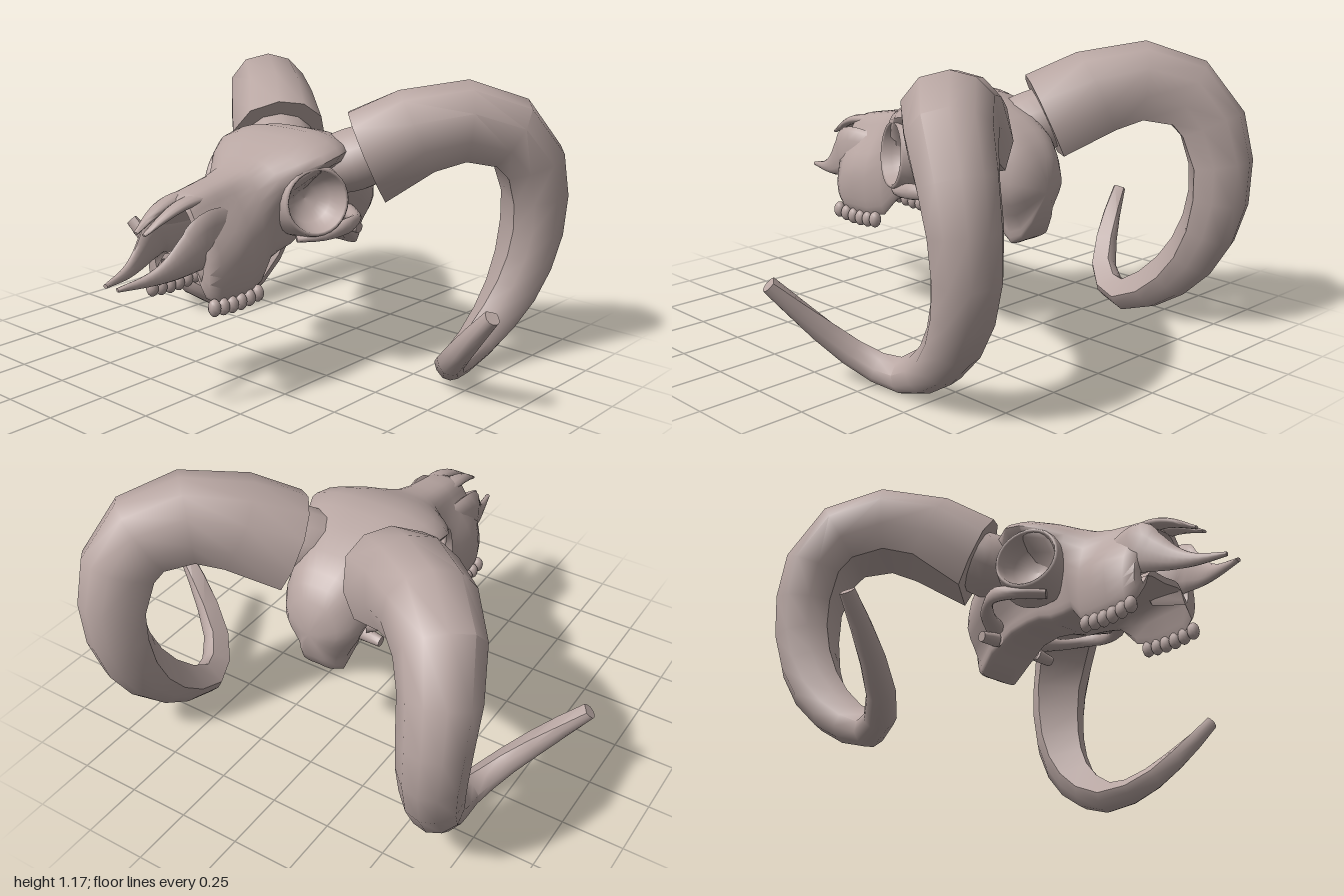
import * as THREE from 'three';
import { toCreasedNormals } from 'three/addons/utils/BufferGeometryUtils.js';

const V = (x, y, z) => new THREE.Vector3(x, y, z);
const bone = new THREE.MeshStandardMaterial({ color: 0xb8a6a2, side: THREE.DoubleSide });

// Skin a list of equal-length rings (counter-clockwise around the travel direction), capped at both ends
function loft(rings, crease) {
  const n = rings[0].length, pos = [], idx = [];
  rings.forEach((r) => r.forEach((p) => pos.push(p.x, p.y, p.z)));
  for (let i = 0; i < rings.length - 1; i++) {
    for (let j = 0; j < n; j++) {
      const a = i * n + j, b = i * n + (j + 1) % n;
      idx.push(a, b, a + n, b, b + n, a + n);
    }
  }
  [0, rings.length - 1].forEach((i) => {
    const c = rings[i].reduce((s, p) => s.add(p), V(0, 0, 0)).divideScalar(n);
    const k = pos.length / 3;
    pos.push(c.x, c.y, c.z);
    for (let j = 0; j < n; j++) {
      const a = i * n + j, b = i * n + (j + 1) % n;
      if (i === 0) idx.push(k, b, a); else idx.push(k, a, b);
    }
  });
  const g = new THREE.BufferGeometry();
  g.setAttribute('position', new THREE.Float32BufferAttribute(pos, 3));
  g.setIndex(idx);
  return toCreasedNormals(g, crease);
}

// Sweep a profile along a path. Each row is x, y, z, half size along "out", half size across, twist
function sweep(rows, profile, steps, out, crease = 1.1) {
  const path = new THREE.CatmullRomCurve3(rows.map((r) => V(r[0], r[1], r[2])), false, 'catmullrom');
  const size = new THREE.CatmullRomCurve3(rows.map((r) => V(r[3], r[4], r[5] ?? 0)), false, 'catmullrom');
  const rings = [];
  for (let i = 0; i <= steps; i++) {
    const p = path.getPoint(i / steps), s = size.getPoint(i / steps), t = path.getTangent(i / steps);
    const r = out(p);
    r.addScaledVector(t, -r.dot(t)).normalize();
    const a = V(0, 0, 0).crossVectors(t, r);
    const c = Math.cos(s.z), d = Math.sin(s.z);
    rings.push(profile.map(([u, v]) => p.clone()
      .addScaledVector(r, (u * c - v * d) * s.x).addScaledVector(a, (u * d + v * c) * s.y)));
  }
  return loft(rings, crease);
}

const oval = Array.from({ length: 12 }, (_, i) => [Math.cos(i * Math.PI / 6), Math.sin(i * Math.PI / 6)]);
const up = () => V(0, 1, 0);

// Copy a geometry to the other side of x = 0, keeping its faces outward
function mirrored(geo) {
  const g = geo.index ? geo.toNonIndexed() : geo.clone();
  for (const name of ['position', 'normal']) {
    const at = g.attributes[name];
    for (let i = 0; i < at.count; i += 3) {
      const v = [0, 2, 1].map((k) => V(0, 0, 0).fromBufferAttribute(at, i + k));
      v.forEach((p, k) => at.setXYZ(i + k, -p.x, p.y, p.z));
    }
  }
  return g;
}

function skullGeometry() {
  // z, top, side bottom, middle bottom, half widths: top, middle, bottom
  const sections = [
    [-0.478, 0.71, 0.61, 0.61, 0.03, 0.04, 0.03],
    [-0.455, 0.79, 0.54, 0.53, 0.09, 0.11, 0.06],
    [-0.42, 0.84, 0.48, 0.47, 0.12, 0.145, 0.08],
    [-0.38, 0.88, 0.46, 0.45, 0.145, 0.17, 0.10],
    [-0.31, 0.92, 0.52, 0.51, 0.165, 0.18, 0.11],
    [-0.2, 0.96, 0.58, 0.57, 0.2, 0.165, 0.10],
    [-0.1, 0.985, 0.59, 0.58, 0.255, 0.155, 0.10],
    [-0.02, 0.992, 0.58, 0.57, 0.29, 0.15, 0.11],
    [0.06, 0.977, 0.55, 0.54, 0.285, 0.15, 0.12],
    [0.14, 0.945, 0.54, 0.54, 0.24, 0.155, 0.13],
    [0.21, 0.91, 0.53, 0.54, 0.18, 0.18, 0.15],
    [0.28, 0.88, 0.45, 0.55, 0.13, 0.17, 0.165],
    [0.36, 0.86, 0.43, 0.55, 0.11, 0.185, 0.18],
    [0.44, 0.845, 0.43, 0.56, 0.105, 0.19, 0.18],
    [0.52, 0.83, 0.43, 0.56, 0.1, 0.172, 0.175],
    [0.565, 0.81, 0.46, 0.56, 0.09, 0.15, 0.16],
  ];
  const rings = sections.map(([z, top, bot, mid, wt, wm, wb]) => {
    const h = top - bot;
    const half = [[wb * 0.6, mid], [wb * 0.9, bot], [wb * 1.04, bot + h * 0.16], [wm, bot + h * 0.5],
      [wt, top - h * 0.17], [wt * 0.6, top - h * 0.03]];
    const pts = [[0, mid], ...half, [0, top], ...half.map(([x, y]) => [-x, y]).reverse()];
    const curve = new THREE.CatmullRomCurve3(pts.map(([x, y]) => V(x, y, z)), true, 'centripetal');
    return curve.getPoints(42).slice(0, 42);
  });
  // Nasal cavity: fold the front edge inward
  const rim = rings[rings.length - 1];
  [[0.78, 0.565], [0.6, 0.42]].forEach(([s, z]) =>
    rings.push(rim.map((p) => V(p.x * s, 0.68 + (p.y - 0.68) * s, z))));
  return loft(rings, 1.2);
}

// Bowl with a soft rim, and a skirt that runs back into the skull
function eyeSocketGeometry() {
  const profile = [[0, -0.12], [0.05, -0.112], [0.09, -0.08], [0.112, -0.035], [0.12, 0], [0.127, 0.006],
    [0.134, -0.003], [0.146, -0.05], [0.155, -0.13]].map(([x, y]) => new THREE.Vector2(x, y));
  const g = new THREE.LatheGeometry(profile, 28);
  g.applyQuaternion(new THREE.Quaternion().setFromUnitVectors(V(0, 1, 0), V(0.9, 0.1, 0.4).normalize()));
  return g.translate(0.272, 0.755, 0.09);
}

function hornGeometry() {
  const rows = [
    [0.235, 0.88, -0.25, 0.185, 0.205, 0],
    [0.475, 1.02, -0.45, 0.165, 0.18, 0.25],
    [0.665, 0.955, -0.655, 0.145, 0.158, 0.55],
    [0.71, 0.73, -0.758, 0.128, 0.138, 0.75],
    [0.7, 0.5, -0.757, 0.118, 0.125, 0.75],
    [0.675, 0.3, -0.675, 0.102, 0.107, 0.75],
    [0.645, 0.15, -0.53, 0.08, 0.085, 0.75],
    [0.635, 0.067, -0.35, 0.06, 0.065, 0.75],
    [0.71, 0.125, -0.2, 0.052, 0.053, 0.75],
    [0.84, 0.265, -0.11, 0.043, 0.043, 0.75],
    [0.98, 0.42, -0.055, 0.026, 0.03, 0.75],
  ];
  // Two sharp edges on the inside of the curl, rounded on the outside
  const profile = [[-0.87, -0.73], [-0.87, 0.73], [-0.3, 0.95], [0.4, 0.92], [0.88, 0.5], [1, -0.1],
    [0.82, -0.6], [0.4, -0.92], [-0.3, -0.95]];
  return sweep(rows, profile, 16, (p) => V(0, p.y - 0.52, p.z + 0.33), 0.85);
}

export function createModel() {
  const group = new THREE.Group();
  const add = (name, geo) => {
    const m = new THREE.Mesh(geo, bone);
    m.name = name;
    group.add(m);
  };
  const pair = (name, geo) => {
    add(name + 'Left', geo);
    add(name + 'Right', mirrored(geo));
  };

  add('skull', skullGeometry());
  pair('horn', hornGeometry());
  pair('eyeSocket', eyeSocketGeometry());

  // Bony core joining the skull to the horn
  pair('hornCore', sweep([[0.12, 0.83, -0.16, 0.12, 0.13], [0.2, 0.86, -0.22, 0.13, 0.15],
    [0.28, 0.9, -0.28, 0.12, 0.14]], oval, 6, up));

  // Cheek arch behind the eye, and the ear tube below it
  pair('cheekArch', sweep([[0.2, 0.605, 0.13, 0.015, 0.03], [0.27, 0.615, 0.05, 0.022, 0.028],
    [0.3, 0.635, -0.05, 0.032, 0.022], [0.275, 0.635, -0.13, 0.025, 0.02], [0.21, 0.625, -0.21, 0.022, 0.03],
    [0.12, 0.62, -0.27, 0.035, 0.04]], oval, 15, up));
  pair('earTube', sweep([[0.1, 0.57, -0.27, 0.03, 0.03], [0.19, 0.56, -0.27, 0.022, 0.022]], oval, 3, up));

  // Pointed nasal bones over the nose opening
  pair('nasalBone', sweep([[0.035, 0.8, 0.4, 0.02, 0.035], [0.037, 0.802, 0.54, 0.02, 0.038],
    [0.034, 0.775, 0.64, 0.016, 0.03], [0.022, 0.715, 0.75, 0.006, 0.01]], oval, 12, up));

  // Slender forward prongs of the upper jaw
  pair('jawProng', sweep([[0.1, 0.68, 0.4, 0.09, 0.03], [0.122, 0.67, 0.53, 0.11, 0.032],
    [0.112, 0.635, 0.6, 0.082, 0.027], [0.09, 0.59, 0.68, 0.05, 0.02], [0.062, 0.56, 0.77, 0.025, 0.017],
    [0.032, 0.547, 0.89, 0.008, 0.009]], oval, 18, up));

  // Cheek teeth
  for (let i = 0; i < 6; i++) {
    const tooth = new THREE.SphereGeometry(1, 10, 8);
    tooth.scale(0.026, 0.034, 0.024).translate(0.17, 0.424 - 0.01 * Math.sin(i * 0.63), 0.548 - i * 0.046);
    pair('tooth' + (i + 1), tooth);
  }
  return group;
}
